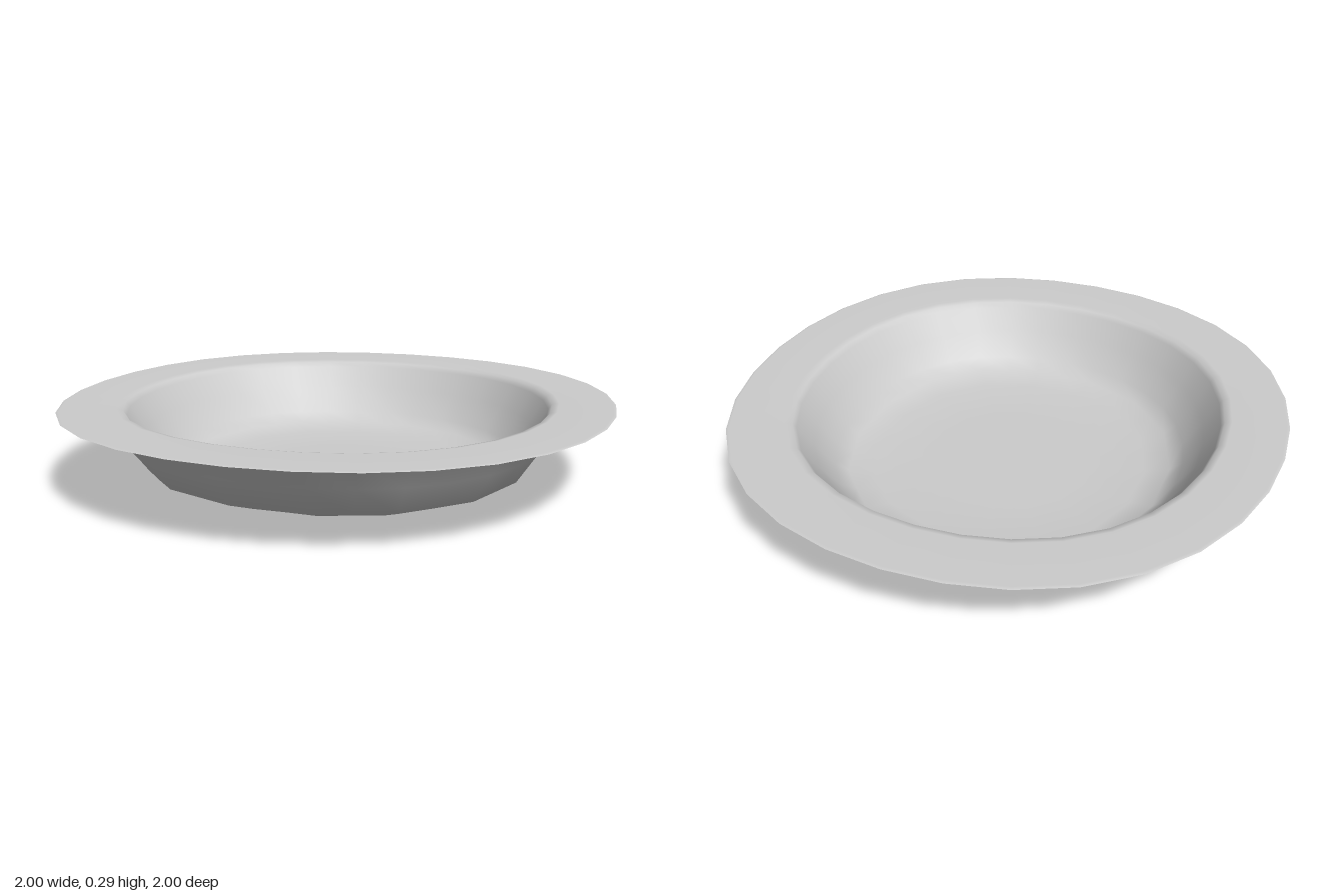
import * as THREE from 'three';
import { mergeVertices } from 'three/addons/utils/BufferGeometryUtils.js';

const SIDES = 32;
const STEP = 2 * Math.PI / SIDES;

// Revolves a [radius, height] profile, slightly squared-off;
// rows inside coarseRadius get half as many sides as the rim
function dishSurface(name, profile, coarseRadius, material) {
  const points = profile.map(([r, y]) => new THREE.Vector2(r, y));
  let geometry = new THREE.LatheGeometry(points, SIDES);
  const pos = geometry.attributes.position;
  for (let i = 0; i < pos.count; i++) {
    const x = pos.getX(i), z = pos.getZ(i);
    const angle = Math.atan2(x, z);
    const even = Math.round(angle / STEP) % 2 === 0;
    let k = 1 + 0.024 * Math.sin(2 * angle) ** 2;
    if (even && Math.hypot(x, z) < coarseRadius) k *= Math.cos(STEP);
    pos.setXYZ(i, x * k, pos.getY(i), z * k);
  }
  // Weld the seam and smooth the surface
  geometry.deleteAttribute('uv');
  geometry.deleteAttribute('normal');
  geometry = mergeVertices(geometry, 1e-4);
  geometry.computeVertexNormals();
  const mesh = new THREE.Mesh(geometry, material);
  mesh.name = name;
  return mesh;
}

export function createModel() {
  const group = new THREE.Group();
  group.name = 'dish';
  const glaze = new THREE.MeshStandardMaterial({ color: 0xcccccc });
  glaze.name = 'grey glaze';

  // Underside: base, outer wall, flared lip
  group.add(dishSurface('underside', [
    [0, 0], [0.3, 0.002], [0.565, 0.01], [0.70, 0.06], [0.77, 0.165],
    [0.832, 0.255], [0.85, 0.268], [0.89, 0.277], [1, 0.285],
  ], 0.73, glaze));

  // Top side: flat rim, inner wall, floor
  group.add(dishSurface('topSide', [
    [1, 0.285], [0.99, 0.288], [0.8, 0.286], [0.775, 0.28], [0.762, 0.262],
    [0.71, 0.18], [0.645, 0.085], [0.6, 0.048], [0.51, 0.026], [0.3, 0.024], [0, 0.024],
  ], 0.63, glaze));

  return group;
}
